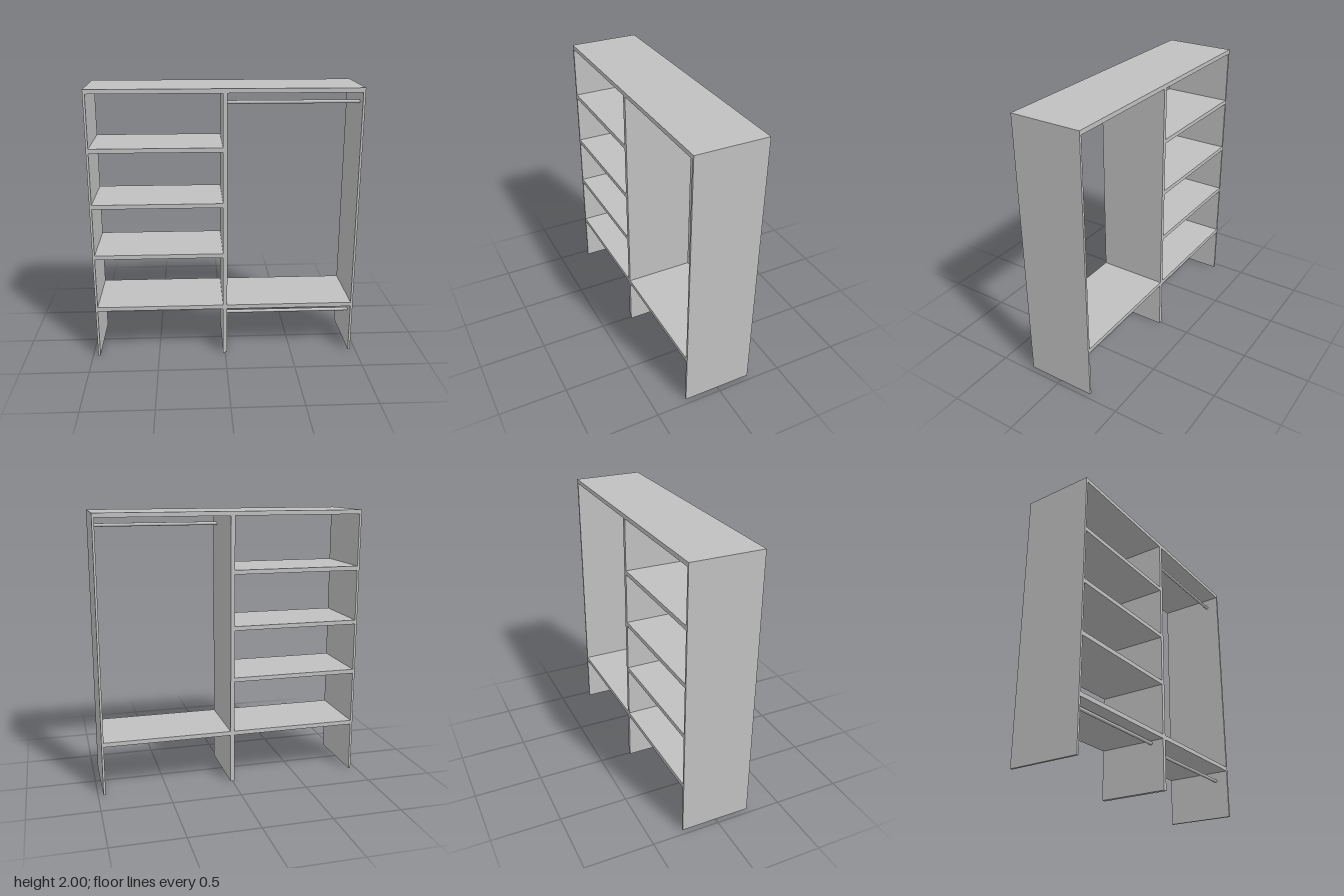
import * as THREE from 'three';

export function createModel() {
  const group = new THREE.Group();
  const grey = new THREE.MeshStandardMaterial({ color: 0xc0c0c0 });
  grey.name = 'light grey';

  const DEPTH = 0.516, HALF = 0.962, SIDE = 0.016, MID = 0.015, BOARD = 0.031;
  const INNER = HALF - SIDE;

  // Box given by its x and y limits, running the full depth
  function board(name, x0, x1, y0, y1) {
    const mesh = new THREE.Mesh(new THREE.BoxGeometry(x1 - x0, y1 - y0, DEPTH), grey);
    mesh.position.set((x0 + x1) / 2, (y0 + y1) / 2, 0);
    mesh.name = name;
    group.add(mesh);
  }

  // Horizontal hanging rod between two uprights
  function rod(name, x0, x1, y) {
    const geometry = new THREE.CylinderGeometry(0.0125, 0.0125, x1 - x0, 20);
    geometry.rotateZ(Math.PI / 2);
    const mesh = new THREE.Mesh(geometry, grey);
    mesh.position.set((x0 + x1) / 2, y, 0.158);
    mesh.name = name;
    group.add(mesh);
  }

  // Uprights and top
  const underTop = 2 - BOARD;
  board('rightSidePanel', -HALF, -INNER, 0, underTop);
  board('leftSidePanel', INNER, HALF, 0, underTop);
  board('centrePanel', -MID, MID, 0, underTop);
  board('topBoard', -HALF, HALF, underTop, 2);

  // Shelves of the narrow-spaced bay
  [1.593, 1.189, 0.807, 0.397].forEach((y, i) =>
    board('shelf' + (i + 1), -INNER, -MID, y - BOARD, y));

  // Low shelf of the hanging bay
  board('hangingBayShelf', MID, INNER, 0.397 - BOARD, 0.397);

  // Hanging rods
  rod('upperRod', MID, INNER, 1.894);
  rod('lowerRod', MID, INNER, 0.297);
  rod('shelfBayRod', -INNER, -MID, 0.348);

  return group;
}
